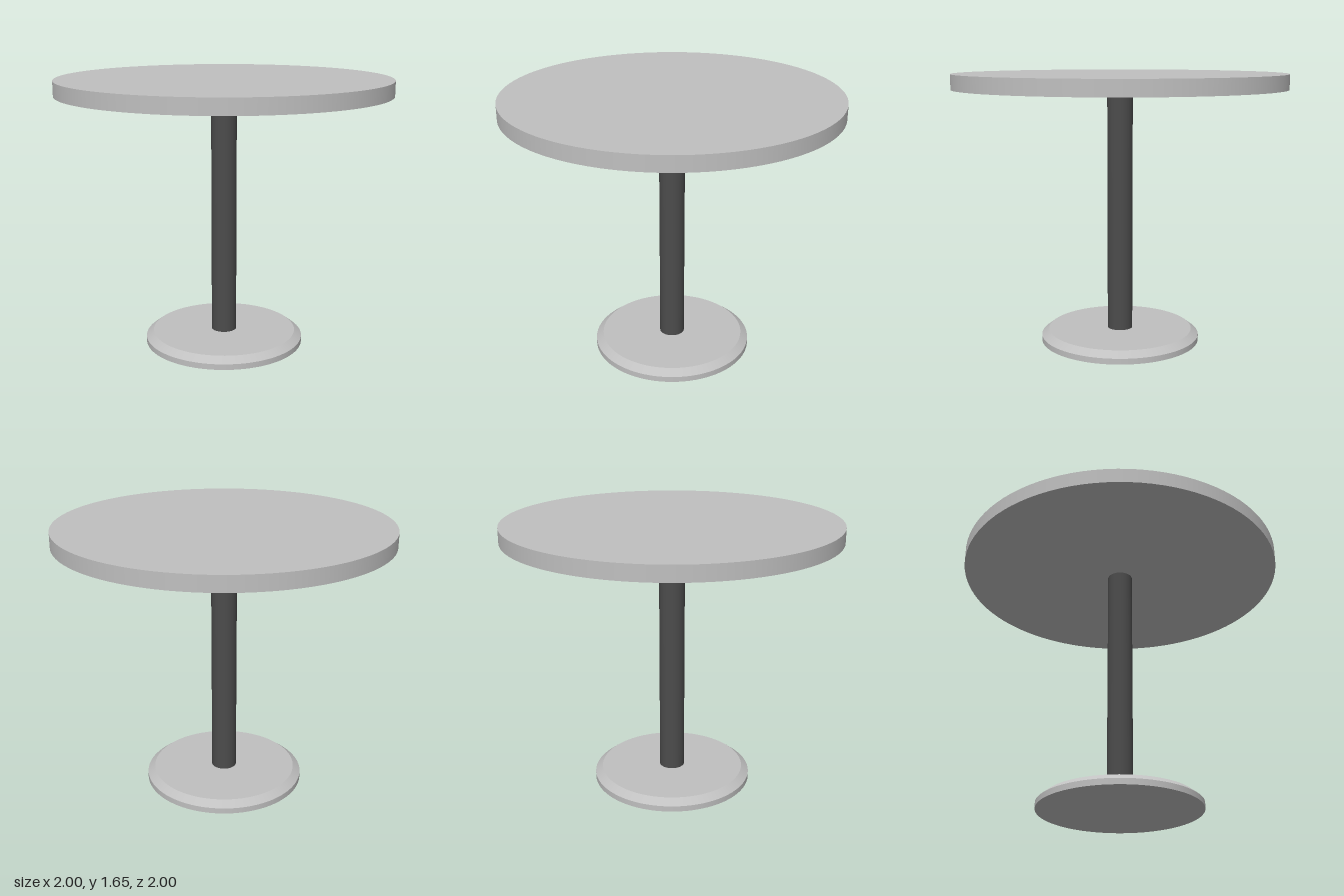
import * as THREE from 'three';

const SEGMENTS = 96;

export function createModel() {
  const lightGrey = new THREE.MeshStandardMaterial({ name: 'light grey', color: 0xc0c0c0 });
  const darkGrey = new THREE.MeshStandardMaterial({ name: 'dark grey', color: 0x4c4c4c });
  const table = new THREE.Group();
  table.name = 'pedestalTable';

  // A round section standing between two heights
  function addDisc(parent, name, material, bottom, top, bottomRadius, topRadius = bottomRadius, open = false) {
    const geometry = new THREE.CylinderGeometry(topRadius, bottomRadius, top - bottom, SEGMENTS, 1, open);
    const mesh = new THREE.Mesh(geometry, material);
    mesh.name = name;
    mesh.position.y = (bottom + top) / 2;
    parent.add(mesh);
    return mesh;
  }

  // Foot: straight rim, bevel and flat top, kept separate for crisp edges
  const base = new THREE.Group();
  base.name = 'base';
  addDisc(base, 'baseRim', lightGrey, 0, 0.035, 0.49, 0.49, true);
  addDisc(base, 'baseBevel', lightGrey, 0.035, 0.07, 0.49, 0.445, true);
  const baseTop = new THREE.Mesh(new THREE.CircleGeometry(0.445, SEGMENTS), lightGrey);
  baseTop.name = 'baseTop';
  baseTop.rotation.x = -Math.PI / 2;
  baseTop.position.y = 0.07;
  const baseUnderside = new THREE.Mesh(new THREE.CircleGeometry(0.49, SEGMENTS), lightGrey);
  baseUnderside.name = 'baseUnderside';
  baseUnderside.rotation.x = Math.PI / 2;
  base.add(baseTop, baseUnderside);
  table.add(base);

  // Central column
  addDisc(table, 'column', darkGrey, 0.07, 1.56, 0.077);

  // Round top
  addDisc(table, 'tabletop', lightGrey, 1.56, 1.65, 1);

  return table;
}
